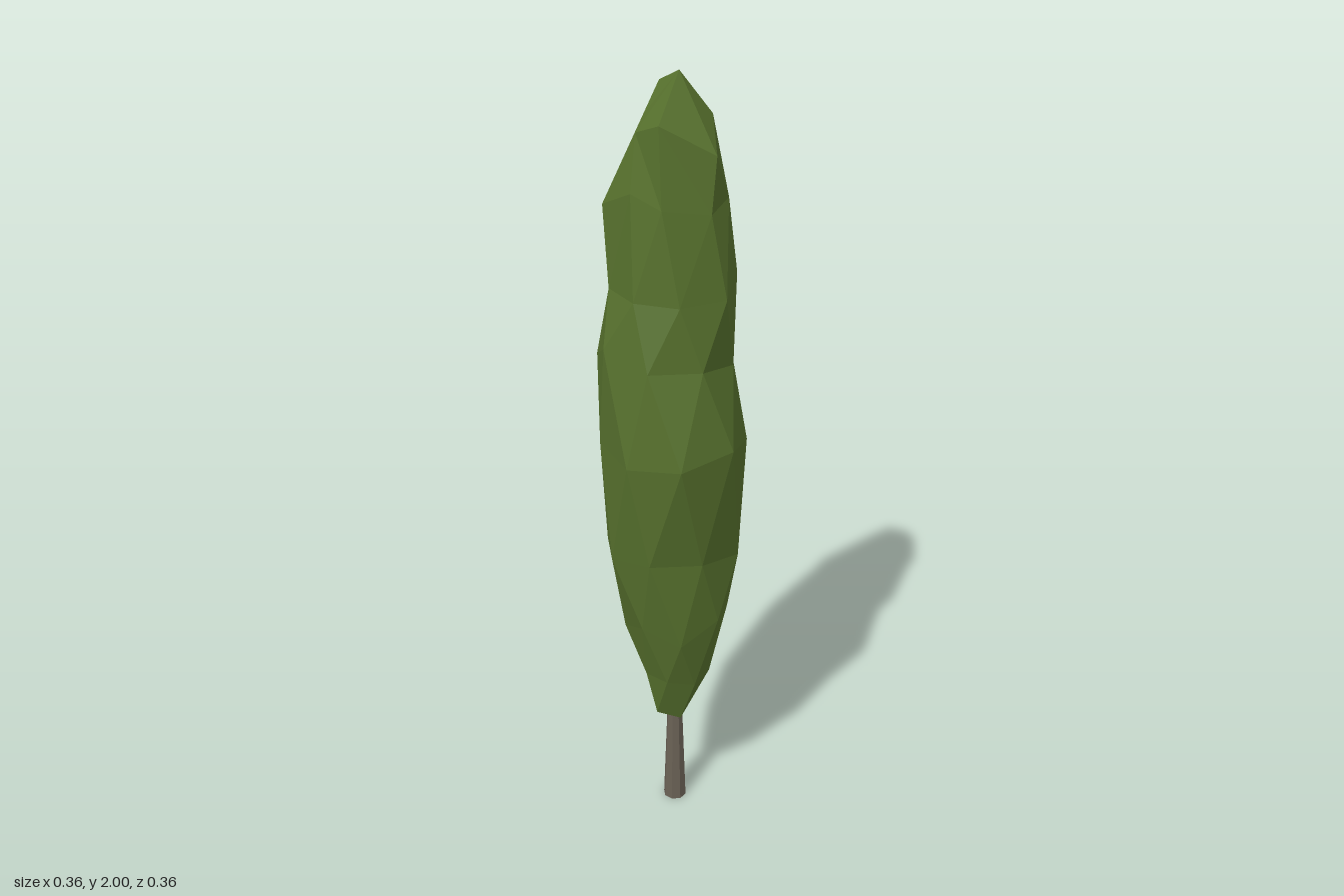
import * as THREE from 'three';

const SIDES = 8;

// Lower foliage outline, bottom to top: y, min x, max x, min z, max z
const RINGS = [
  [0.42, -0.082, 0.100, -0.103, 0.083],
  [0.60, -0.118, 0.137, -0.133, 0.120],
  [0.79, -0.176, 0.176, -0.163, 0.143],
  [1.12, -0.177, 0.160, -0.177, 0.182],
  [1.35, -0.180, 0.157, -0.177, 0.153],
];

// Lopsided crown: three rings of corners, running from +x towards +z
const CROWN = [
  [[0.138, 1.53, 0.05], [0.06, 1.5, 0.135], [-0.06, 1.5, 0.128], [-0.135, 1.5, 0.045],
    [-0.138, 1.5, -0.07], [-0.06, 1.5, -0.155], [0.105, 1.55, -0.175], [0.14, 1.6, -0.07]],
  [[0.141, 1.75, -0.028], [0.1, 1.72, 0.07], [0.03, 1.7, 0.113], [-0.085, 1.72, 0.09],
    [-0.115, 1.74, 0], [-0.13, 1.69, -0.11], [-0.03, 1.75, -0.1], [0.075, 1.73, -0.12]],
  [[0.085, 1.9, 0.02], [0.045, 1.83, 0.108], [-0.075, 1.9, 0.06], [-0.09, 1.87, -0.02],
    [-0.06, 1.9, -0.04], [-0.01, 1.97, -0.055], [0.025, 1.95, -0.052], [0.07, 1.93, -0.02]],
];

const toVectors = (list) => list.map((p) => new THREE.Vector3(...p));

function seeded(seed) {
  return () => {
    seed = (seed * 16807) % 2147483647;
    return seed / 2147483647;
  };
}

// One uneven ring, filling its outline exactly
function makeRing([y, x0, x1, z0, z1], k, rand) {
  const pts = [];
  for (let i = 0; i < SIDES; i++) {
    const a = ((i + 0.5 * (k % 2) + (rand() - 0.5) * 0.15) / SIDES) * Math.PI * 2;
    const r = 0.95 + rand() * 0.08;
    pts.push(new THREE.Vector3(Math.cos(a) * r, y + (rand() - 0.5) * 0.08, Math.sin(a) * r));
  }
  const box = new THREE.Box3().setFromPoints(pts);
  for (const p of pts) {
    p.x = THREE.MathUtils.mapLinear(p.x, box.min.x, box.max.x, x0, x1);
    p.z = THREE.MathUtils.mapLinear(p.z, box.min.z, box.max.z, z0, z1);
  }
  return pts;
}

function foliageGeometry() {
  const rand = seeded(4127);
  const rings = [...RINGS.map((r, k) => makeRing(r, k, rand)), ...CROWN.map(toVectors)];
  const base = toVectors([[0, 0.28, 0.03], [-0.055, 0.3, 0], [0.005, 0.28, -0.04], [0.02, 0.3, 0]]);
  const tip = new THREE.Vector3(0.01, 2, 0);
  const positions = [];
  const tri = (...corners) => corners.forEach((c) => positions.push(c.x, c.y, c.z));

  // Staggered bands between neighbouring rings
  for (let k = 0; k < rings.length - 1; k++) {
    const b = rings[k], t = rings[k + 1];
    for (let i = 0; i < SIDES; i++) {
      const j = (i + 1) % SIDES;
      if (k % 2 === 0) {
        tri(b[i], t[i], b[j]);
        tri(t[i], t[j], b[j]);
      } else {
        tri(b[i], t[j], b[j]);
        tri(t[i], t[j], b[i]);
      }
    }
  }

  // Pointed top, and a small blunt base around the trunk
  const first = rings[0], last = rings[rings.length - 1];
  for (let i = 0; i < SIDES; i++) {
    const j = (i + 1) % SIDES;
    const q = base[((i + 7) % SIDES) >> 1];
    tri(last[i], tip, last[j]);
    tri(first[i], first[j], q);
    if (i % 2 === 0) tri(first[j], base[i >> 1], q);
  }
  tri(base[0], base[1], base[2]);
  tri(base[0], base[2], base[3]);

  const geometry = new THREE.BufferGeometry();
  geometry.setAttribute('position', new THREE.Float32BufferAttribute(positions, 3));
  geometry.computeVertexNormals();
  return geometry;
}

export function createModel() {
  const leafGreen = new THREE.MeshStandardMaterial({ color: 0x56702d, flatShading: true });
  leafGreen.name = 'leafGreen';
  const barkBrown = new THREE.MeshStandardMaterial({ color: 0x6a6155, flatShading: true });
  barkBrown.name = 'barkBrown';

  const tree = new THREE.Group();
  tree.name = 'cypressTree';

  const foliage = new THREE.Mesh(foliageGeometry(), leafGreen);
  foliage.name = 'foliage';

  // Slim tapered trunk reaching into the foliage
  const trunk = new THREE.Mesh(new THREE.CylinderGeometry(0.016, 0.031, 0.42, 8), barkBrown);
  trunk.name = 'trunk';
  trunk.position.set(0.002, 0.21, -0.005);

  tree.add(foliage, trunk);
  return tree;
}
